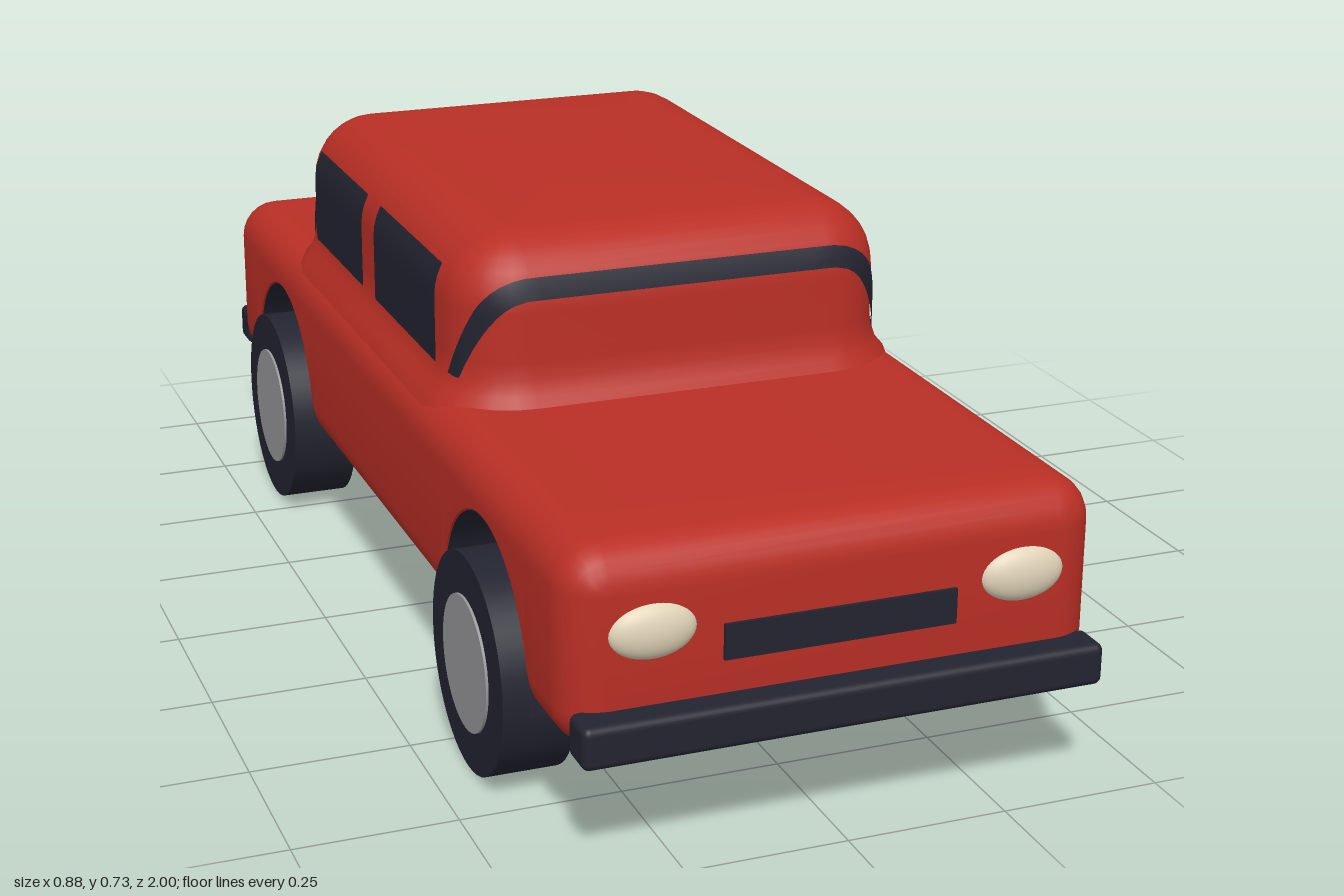
import * as THREE from 'three';
import { toCreasedNormals } from 'three/addons/utils/BufferGeometryUtils.js';
import { RoundedBoxGeometry } from 'three/addons/geometries/RoundedBoxGeometry.js';

const V = (x, y, z) => new THREE.Vector3(x, y, z);

// Skin over rows of points; closed rows form a capped solid
function loft(rows, closed) {
  const n = rows[0].length, pts = rows.flat(), index = [];
  for (let i = 0; i < rows.length - 1; i++) {
    for (let j = 0; j < (closed ? n : n - 1); j++) {
      const k = (j + 1) % n;
      const a = i * n + j, b = i * n + k, c = b + n, d = a + n;
      index.push(a, b, c, a, c, d);
    }
  }
  if (closed) {
    for (const [row, end] of [[0, false], [rows.length - 1, true]]) {
      const mid = V(0, 0, 0);
      rows[row].forEach((p) => mid.addScaledVector(p, 1 / n));
      const m = pts.push(mid) - 1;
      for (let j = 0; j < n; j++) {
        const a = row * n + j, b = row * n + (j + 1) % n;
        if (end) index.push(m, a, b); else index.push(m, b, a);
      }
    }
  }
  const g = new THREE.BufferGeometry().setFromPoints(pts);
  g.setIndex(index);
  return toCreasedNormals(g, 0.6);
}

// Counterclockwise rounded rectangle as [u, v] pairs
function roundedRect(u, v0, v1, radius) {
  const r = Math.max(radius, 0.001), out = [];
  const centres = [[u - r, v1 - r], [-u + r, v1 - r], [-u + r, v0 + r], [u - r, v0 + r]];
  centres.forEach(([cu, cv], q) => {
    for (let k = 0; k <= 6; k++) {
      const a = (q + k / 6) * Math.PI / 2;
      out.push([cu + r * Math.cos(a), cv + r * Math.sin(a)]);
    }
  });
  return out;
}

const AXLE = 0.595, ARCH_W = 0.208, ARCH_H = 0.23, FLOOR = 0.17;

// Lower body: rounded box whose underside rises over each wheel
function bodyGeometry() {
  const L = 0.955, r = 0.065, stations = [];
  for (const s of [-1, 1]) {
    for (let k = 0; k <= 6; k++) {
      const a = k / 6 * Math.PI / 2;
      stations.push([s * (L - r + r * Math.cos(a)), r * (1 - Math.sin(a))]);
    }
    for (let k = 0; k <= 28; k++) stations.push([s * AXLE + ARCH_W * Math.cos(k / 28 * Math.PI), 0]);
  }
  stations.sort((a, b) => a[0] - b[0]);
  return loft(stations.map(([z, inset]) => {
    const t = (Math.abs(z) - AXLE) / ARCH_W;
    const arch = FLOOR + ARCH_H * Math.sqrt(Math.max(0, 1 - t * t));
    return roundedRect(0.41 - inset, FLOOR + inset, 0.475 - inset, r - inset)
      .map(([x, y]) => V(x, Math.abs(t) < 1 ? Math.max(y, arch) : y, z));
  }), true);
}

const CAB = { w: 0.36, l: 0.486, top: 0.73, r: 0.11, z: -0.124 };

// Cabin: rounded roof and a small flare where it meets the body
function cabinGeometry() {
  const levels = [[0.45, -0.035], [0.475, -0.025], [0.49, -0.012], [0.515, -0.003], [0.54, 0]];
  for (let k = 0; k <= 8; k++) {
    const a = k / 8 * Math.PI / 2;
    levels.push([CAB.top - CAB.r + CAB.r * Math.sin(a), CAB.r * (1 - Math.cos(a))]);
  }
  return loft(levels.map(([y, i]) =>
    roundedRect(CAB.w - i, -CAB.l + i, CAB.l - i, CAB.r - i).map(([x, v]) => V(x, y, -v))), true);
}

// Distance from a point to the rounded cabin shell
function cabinDistance(p) {
  const h = CAB.top / 2, r = CAB.r;
  const q = [Math.abs(p.x) - CAB.w + r, Math.abs(p.y - h) - h + r, Math.abs(p.z) - CAB.l + r];
  return Math.hypot(...q.map((c) => Math.max(c, 0))) + Math.min(Math.max(...q), 0) - r;
}

// Sloping glass band wrapped over the end of the cabin
function bandGeometry(side) {
  const up = V(0, 2.2, 1).normalize(), rows = [];
  for (let k = 0; k <= 64; k++) {
    const a = k / 64 * Math.PI;
    const dir = up.clone().multiplyScalar(Math.sin(a));
    dir.x = Math.cos(a);
    rows.push([0.397, 0.4105, 0.424].map((z) => {
      let lo = 0, hi = 1;
      const p = V(0, 0, 0);
      for (let i = 0; i < 30; i++) {
        const mid = (lo + hi) / 2;
        p.set(0, 0.5, z).addScaledVector(dir, mid);
        if (cabinDistance(p) < 0.004) lo = mid; else hi = mid;
      }
      p.z *= side;
      return p;
    }));
  }
  return loft(rows, false);
}

// Side window that follows the curve of the cabin wall
function windowGeometry(side, z0, z1) {
  const rows = [];
  for (let k = 0; k <= 10; k++) {
    const y = 0.505 + 0.168 * k / 10;
    const rise = Math.max(0, y - CAB.top + CAB.r);
    const x = CAB.w - CAB.r + Math.sqrt(CAB.r ** 2 - rise ** 2) + 0.004;
    const row = [V(side * x, y, z0), V(side * x, y, z1)];
    rows.push(side > 0 ? row : row.reverse());
  }
  return loft(rows, false);
}

export function createModel() {
  const car = new THREE.Group();
  car.name = 'car';
  const material = (name, color, side = THREE.FrontSide) => {
    const m = new THREE.MeshStandardMaterial({ color, side });
    m.name = name;
    return m;
  };
  const red = material('red paint', 0xb92f25);
  const dark = material('dark trim', 0x222430, THREE.DoubleSide);
  const grey = material('hub grey', 0x98989c);
  const cream = material('lamp cream', 0xe0d4b8);

  const add = (parent, name, geometry, mat, x = 0, y = 0, z = 0) => {
    const mesh = new THREE.Mesh(geometry, mat);
    mesh.name = name;
    mesh.position.set(x, y, z);
    parent.add(mesh);
    return mesh;
  };

  add(car, 'body', bodyGeometry(), red);

  // Cabin with its glass
  const cabin = new THREE.Group();
  cabin.name = 'cabin';
  cabin.position.z = CAB.z;
  car.add(cabin);
  add(cabin, 'cabinShell', cabinGeometry(), red);
  add(cabin, 'windshield', bandGeometry(1), dark);
  add(cabin, 'rearWindow', bandGeometry(-1), dark);
  for (const s of [1, -1]) {
    const label = s > 0 ? 'left' : 'right';
    add(cabin, label + 'FrontWindow', windowGeometry(s, 0.225 - CAB.z, -0.12 - CAB.z), dark);
    add(cabin, label + 'RearWindow', windowGeometry(s, -0.195 - CAB.z, -0.5 - CAB.z), dark);
  }

  // Bumpers, arch linings and wheels
  const tyre = new THREE.CylinderGeometry(0.17, 0.17, 0.112, 48).rotateZ(Math.PI / 2);
  const hub = new THREE.CylinderGeometry(0.105, 0.105, 0.12, 40).rotateZ(Math.PI / 2);
  const lining = new THREE.CylinderGeometry(ARCH_W - 0.003, ARCH_W - 0.003, 0.816, 32, 1, true, 0, Math.PI)
    .rotateZ(Math.PI / 2).scale(1, (ARCH_H - 0.003) / (ARCH_W - 0.003), 1);
  for (const e of [1, -1]) {
    const end = e > 0 ? 'front' : 'rear';
    add(car, end + 'Bumper', new RoundedBoxGeometry(0.8, 0.065, 0.065, 3, 0.012), dark, 0, 0.209, e * 0.9675);
    add(car, end + 'ArchLining', lining, dark, 0, FLOOR, e * AXLE);
    for (const s of [1, -1]) {
      const wheel = new THREE.Group();
      wheel.name = end + (s > 0 ? 'Left' : 'Right') + 'Wheel';
      wheel.position.set(s * 0.381, 0.17, e * AXLE);
      add(wheel, 'tyre', tyre, dark);
      add(wheel, 'hub', hub, grey);
      car.add(wheel);
    }
  }

  // Lamps and grille
  add(car, 'grille', new THREE.BoxGeometry(0.356, 0.054, 0.009), dark, 0, 0.32, 0.956);
  for (const s of [1, -1]) {
    const label = s > 0 ? 'left' : 'right';
    const lamp = add(car, label + 'Headlight', new THREE.SphereGeometry(1, 32, 20), cream, s * 0.283, 0.352, 0.95);
    lamp.scale.set(0.066, 0.042, 0.025);
    add(car, label + 'TailLight', new RoundedBoxGeometry(0.14, 0.044, 0.03, 2, 0.006), red, s * 0.295, 0.36, -0.954);
  }
  return car;
}
